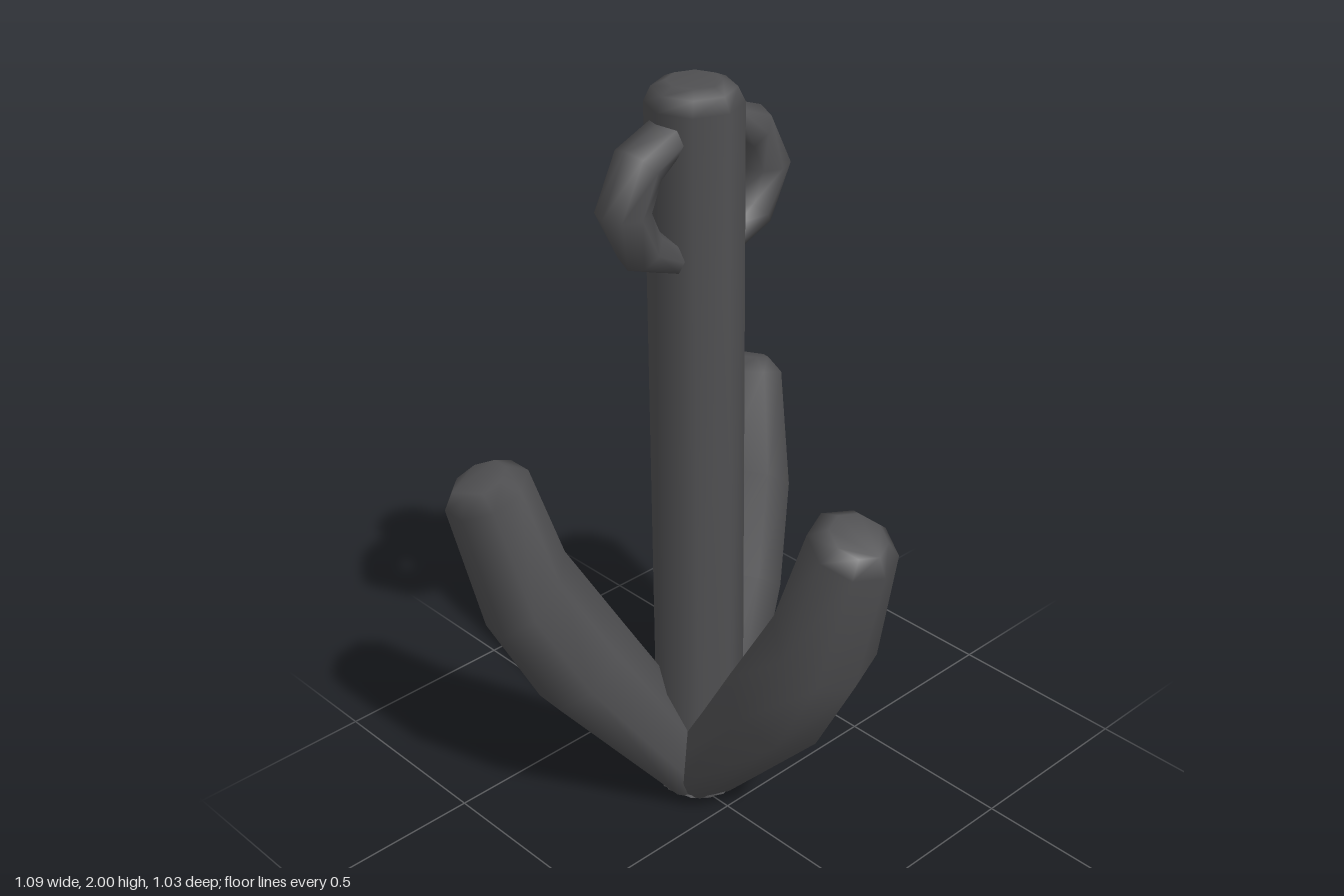
import * as THREE from 'three';

const SIDES = 8;
const AXIS = { x: 0.006, z: -0.113 };

// Eight-sided smooth loft in the z-y plane.
// Each section: [z, y, tilt of its outward axis in degrees, in-plane radius, lateral radius]
function loft(sections) {
  const pos = [], idx = [];
  for (const [z, y, tilt, r, w] of sections) {
    const t = THREE.MathUtils.degToRad(tilt);
    for (let j = 0; j < SIDES; j++) {
      const a = (j / SIDES) * Math.PI * 2;
      const n = r * Math.cos(a);
      pos.push(w * Math.sin(a), y + n * Math.sin(t), z + n * Math.cos(t));
    }
  }
  const last = (sections.length - 1) * SIDES;
  for (let i = 0; i < last; i += SIDES) {
    for (let j = 0; j < SIDES; j++) {
      const k = (j + 1) % SIDES;
      idx.push(i + j, i + k, i + SIDES + k, i + j, i + SIDES + k, i + SIDES + j);
    }
  }
  // end caps
  for (let j = 1; j < SIDES - 1; j++) {
    idx.push(0, j + 1, j, last, last + j, last + j + 1);
  }
  const geo = new THREE.BufferGeometry();
  geo.setAttribute('position', new THREE.Float32BufferAttribute(pos, 3));
  geo.setIndex(idx);
  geo.computeVertexNormals();
  return geo;
}

export function createModel() {
  const group = new THREE.Group();
  group.name = 'anchor';
  const iron = new THREE.MeshStandardMaterial({ color: 0x505052 });
  iron.name = 'dark iron';

  const add = (name, geo, degrees) => {
    const mesh = new THREE.Mesh(geo, iron);
    mesh.name = name;
    mesh.position.set(AXIS.x, 0, AXIS.z);
    mesh.rotation.y = THREE.MathUtils.degToRad(degrees);
    group.add(mesh);
  };

  // upright shaft with bevelled ends
  add('shaft', loft([
    [0, 0, 0, 0.055, 0.055],
    [0, 0.05, 0, 0.115, 0.115],
    [0, 1.95, 0, 0.115, 0.115],
    [0, 1.985, 0, 0.098, 0.098],
    [0, 2.0, 0, 0.065, 0.065],
  ]), 0);

  // three curved arms sharing the foot of the shaft
  const arm = loft([
    [0, 0, 0, 0.055, 0.055],
    [0, 0.05, 0, 0.115, 0.115],
    [0.31, 0.475, -40, 0.147, 0.157],
    [0.444, 0.715, -42, 0.14, 0.152],
    [0.523, 1.012, -22, 0.112, 0.112],
    [0.54, 1.045, -22, 0.072, 0.072],
  ]);
  add('frontArm', arm, 0);
  add('backLeftArm', arm, 124);
  add('backRightArm', arm, -120);

  // C-shaped handles on both sides near the top
  const handle = loft([
    [0.07, 1.605, -90, 0.035, 0.045],
    [0.095, 1.605, -90, 0.047, 0.064],
    [0.172, 1.645, -48, 0.058, 0.065],
    [0.22, 1.745, 0, 0.063, 0.066],
    [0.172, 1.845, 48, 0.058, 0.065],
    [0.095, 1.885, 90, 0.047, 0.064],
    [0.07, 1.885, 90, 0.035, 0.045],
  ]);
  add('leftHandle', handle, 90);
  add('rightHandle', handle, -90);

  return group;
}
